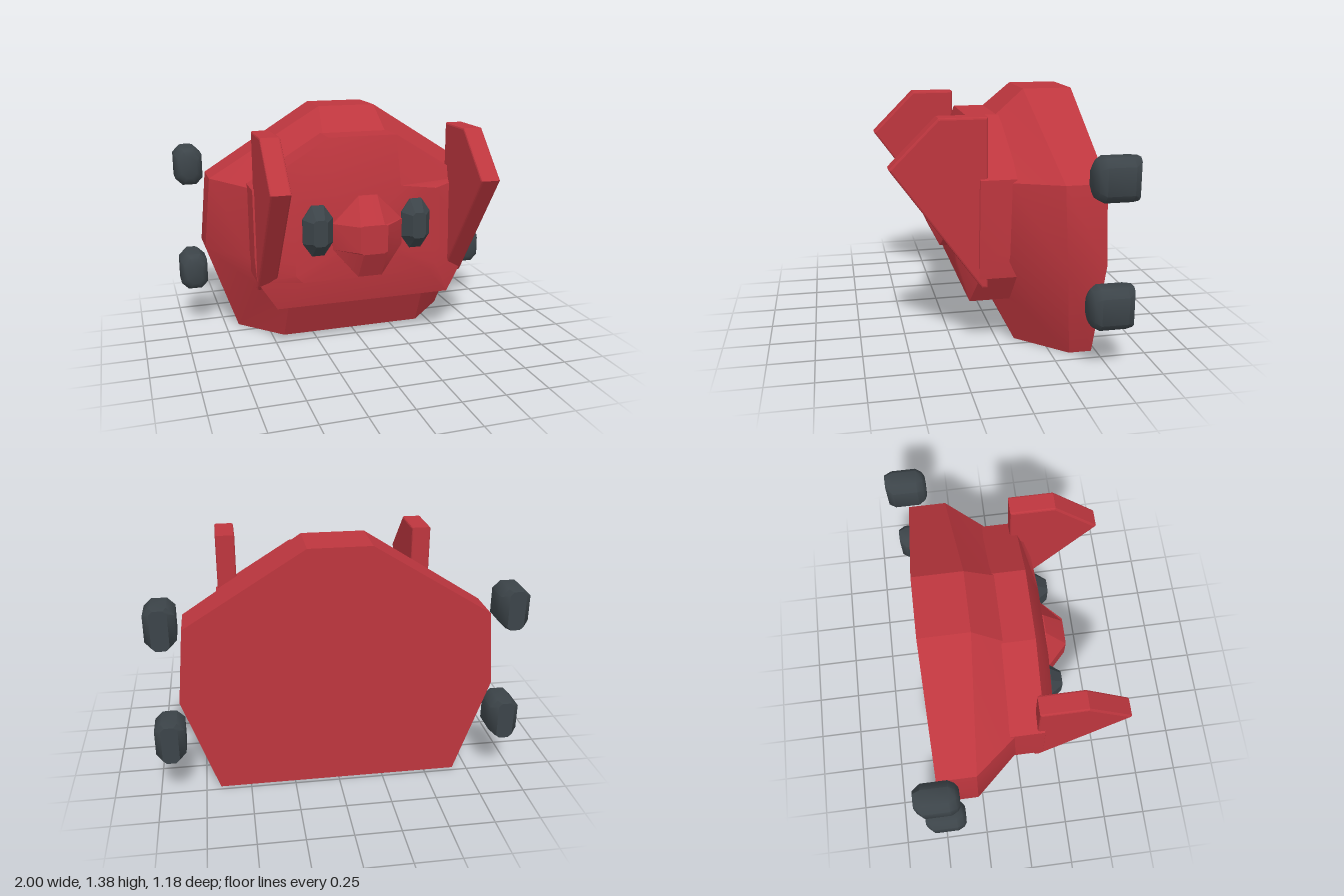
import * as THREE from 'three';
import { toCreasedNormals } from 'three/addons/utils/BufferGeometryUtils.js';

const red = new THREE.MeshStandardMaterial({ color: 0xbd363e });
red.name = 'red shell';
const dark = new THREE.MeshStandardMaterial({ color: 0x3c4449 });
dark.name = 'dark grey';

// Skin a solid through rings, back to front. Each ring gives its right half
// (x > 0) from top to bottom; the other half is mirrored.
function loft(halfRings, crease = 0.45) {
  const pos = [];
  const rings = halfRings.map(h => [...h, ...h.map(([x, y, z]) => [-x, y, z]).reverse()]);
  const n = rings[0].length;
  const tri = (a, b, c) => pos.push(...a, ...b, ...c);
  const centre = r => [0, 1, 2].map(k => r.reduce((s, p) => s + p[k], 0) / n);
  const back = rings[0], front = rings[rings.length - 1];
  const cb = centre(back), cf = centre(front);
  for (let i = 0; i < n; i++) {
    const j = (i + 1) % n;
    tri(cb, back[i], back[j]);
    tri(cf, front[j], front[i]);
    for (let k = 0; k < rings.length - 1; k++) {
      const a = rings[k], b = rings[k + 1];
      tri(a[i], b[i], a[j]);
      tri(a[j], b[i], b[j]);
    }
  }
  const g = new THREE.BufferGeometry();
  g.setAttribute('position', new THREE.Float32BufferAttribute(pos, 3));
  return toCreasedNormals(g, crease);
}

const atZ = (z, pts) => pts.map(([x, y]) => [x, y, z]);

export function createModel() {
  const model = new THREE.Group();
  const add = (name, geometry, material, x = 0, y = 0, z = 0) => {
    const mesh = new THREE.Mesh(geometry, material);
    mesh.name = name;
    mesh.position.set(x, y, z);
    model.add(mesh);
  };

  // Main shell: flat back, straight rim, sloping forward to the face
  add('shell', loft([
    atZ(-0.475, [[0.17, 1.375], [0.82, 0.97], [0.86, 0.55], [0.67, 0], [0.43, 0]]),
    [[0.17, 1.375, -0.2], [0.82, 0.97, -0.26], [0.86, 0.55, -0.27], [0.67, 0, -0.35], [0.43, 0, -0.1]],
    [[0.19, 1.23, -0.03], [0.63, 0.95, -0.03], [0.63, 0.53, -0.02], [0.53, 0.3, -0.05], [0.42, 0.3, 0.05]],
  ]), red);

  // Raised face plate
  add('facePlate', loft([
    [[0.2, 1.24, -0.08], [0.635, 0.97, -0.06], [0.635, 0.57, -0.05], [0.625, 0.44, -0.09], [0.52, 0.28, -0.06]],
    [[0.2, 1.24, 0.13], [0.635, 0.97, 0.13], [0.635, 0.57, 0.135], [0.625, 0.44, 0.135], [0.52, 0.28, 0.17]],
    [[0.2, 0.96, 0.21], [0.42, 0.93, 0.2], [0.42, 0.57, 0.215], [0.42, 0.48, 0.22], [0.38, 0.44, 0.22]],
  ]), red);

  // Faceted nose
  const noseRim = [[0.055, 0.92], [0.205, 0.77], [0.205, 0.62], [0.07, 0.46]];
  add('nose', loft([
    atZ(0.14, noseRim),
    [[0.055, 0.92, 0.22], [0.205, 0.77, 0.22], [0.205, 0.62, 0.22], [0.07, 0.46, 0.265]],
    atZ(0.34, [[0.06, 0.775], [0.08, 0.77], [0.08, 0.62], [0.06, 0.61]]),
  ]), red);

  // Faceted eyes
  const eyeRim = [[0.035, 0.145], [0.087, 0.07], [0.087, -0.07], [0.035, -0.145]];
  const eye = loft([
    atZ(0.14, eyeRim),
    atZ(0.215, eyeRim),
    atZ(0.28, [[0.025, 0.075], [0.04, 0.06], [0.04, -0.06], [0.025, -0.075]]),
  ]);

  // Upright blade fins, drawn in side profile as (-z, y)
  const profile = new THREE.Shape([
    [-0.09, 1.29], [-0.34, 1.29], [-0.59, 1.04], [-0.14, 0.415], [-0.12, 0.39], [-0.09, 0.39],
  ].map(([u, v]) => new THREE.Vector2(u, v)));
  const fin = new THREE.ExtrudeGeometry(profile, {
    depth: 0.09, bevelThickness: 0.01, bevelSize: 0.01, bevelOffset: -0.01, bevelSegments: 2,
  });
  fin.translate(0, 0, -0.045).rotateY(Math.PI / 2);

  // Chamfered wheel blocks
  const section = (z, w, h, c) => atZ(z, [[w - c, h], [w, h - c], [w, c - h], [w - c, -h]]);
  const block = loft([
    section(-0.115, 0.045, 0.108, 0.02),
    section(-0.075, 0.08, 0.11, 0.04),
    section(0.065, 0.08, 0.11, 0.04),
    section(0.1, 0.064, 0.093, 0.04),
    section(0.115, 0.045, 0.065, 0.03),
  ], 0.8);

  for (const [side, s] of [['left', 1], ['right', -1]]) {
    add(side + 'Eye', eye, dark, s * 0.29, 0.735, 0);
    add(side + 'Fin', fin, red, s * 0.57, 0, 0);
    add(side + 'UpperWheel', block, dark, s * 0.92, 1.02, -0.475);
    add(side + 'LowerWheel', block, dark, s * 0.92, 0.36, -0.475);
  }
  return model;
}
